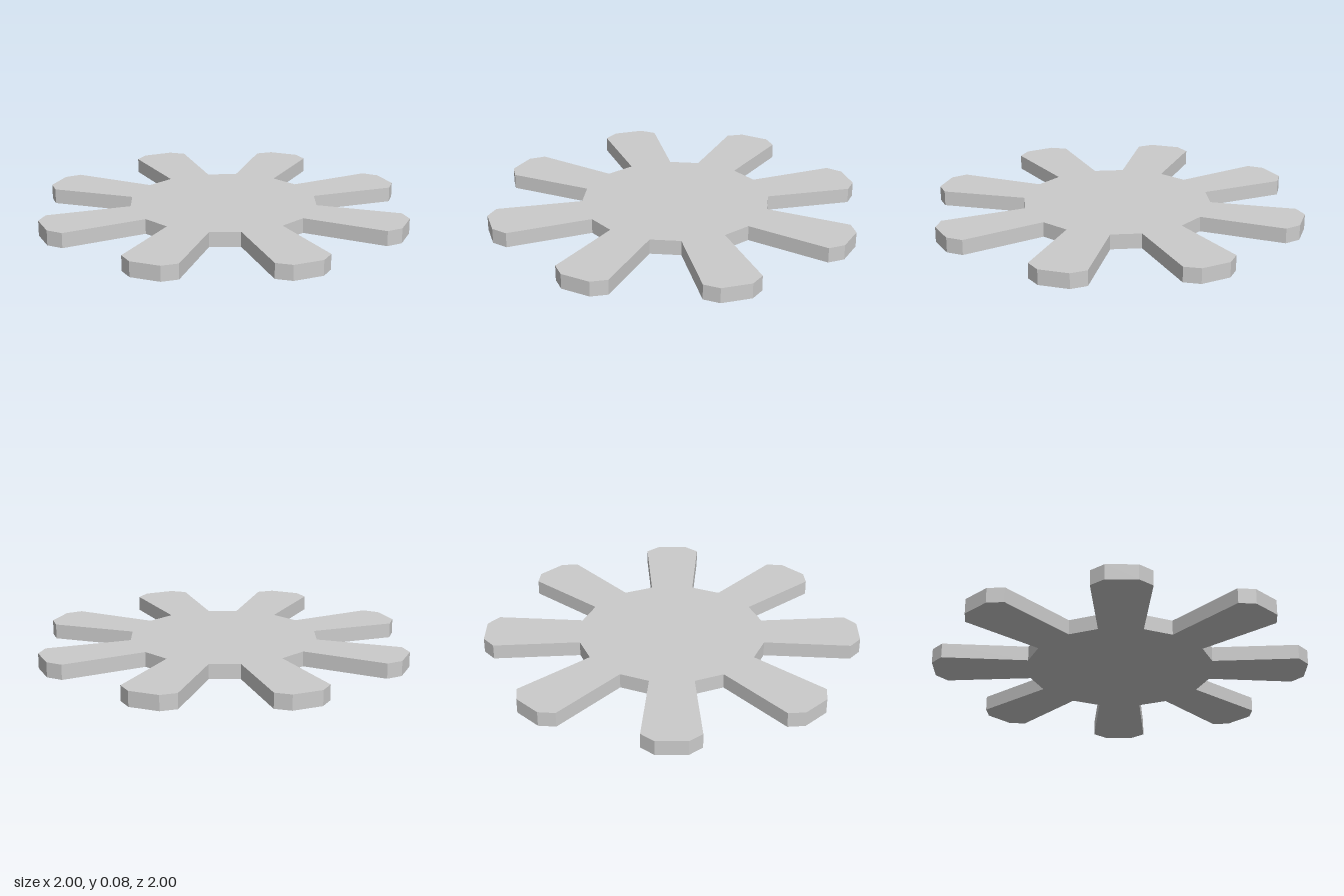
import * as THREE from 'three';

const ARMS = 8;
const THICKNESS = 0.08;

// Half outline of one arm: [distance from centre, half width], root to tip
const HALF_ARM = [[0.487, 0.115], [0.942, 0.149], [1, 0.08]];

export function createModel() {
  const group = new THREE.Group();
  group.name = 'spokedPlate';

  // Mirror the half outline, then repeat it around the centre
  const arm = [
    ...HALF_ARM.map(([r, w]) => new THREE.Vector2(r, -w)),
    ...HALF_ARM.map(([r, w]) => new THREE.Vector2(r, w)).reverse(),
  ];
  const centre = new THREE.Vector2();
  const outline = [];
  for (let i = 0; i < ARMS; i++) {
    const angle = (i / ARMS) * Math.PI * 2;
    for (const p of arm) outline.push(p.clone().rotateAround(centre, angle));
  }

  // Flat plate with eight flared, chamfered arms, laid on the ground
  const geometry = new THREE.ExtrudeGeometry(new THREE.Shape(outline), {
    depth: THICKNESS,
    bevelEnabled: false,
  });
  geometry.rotateX(-Math.PI / 2);

  const plate = new THREE.Mesh(
    geometry,
    new THREE.MeshStandardMaterial({ color: 0xcccccc, flatShading: true })
  );
  plate.name = 'plate';
  group.add(plate);
  return group;
}
